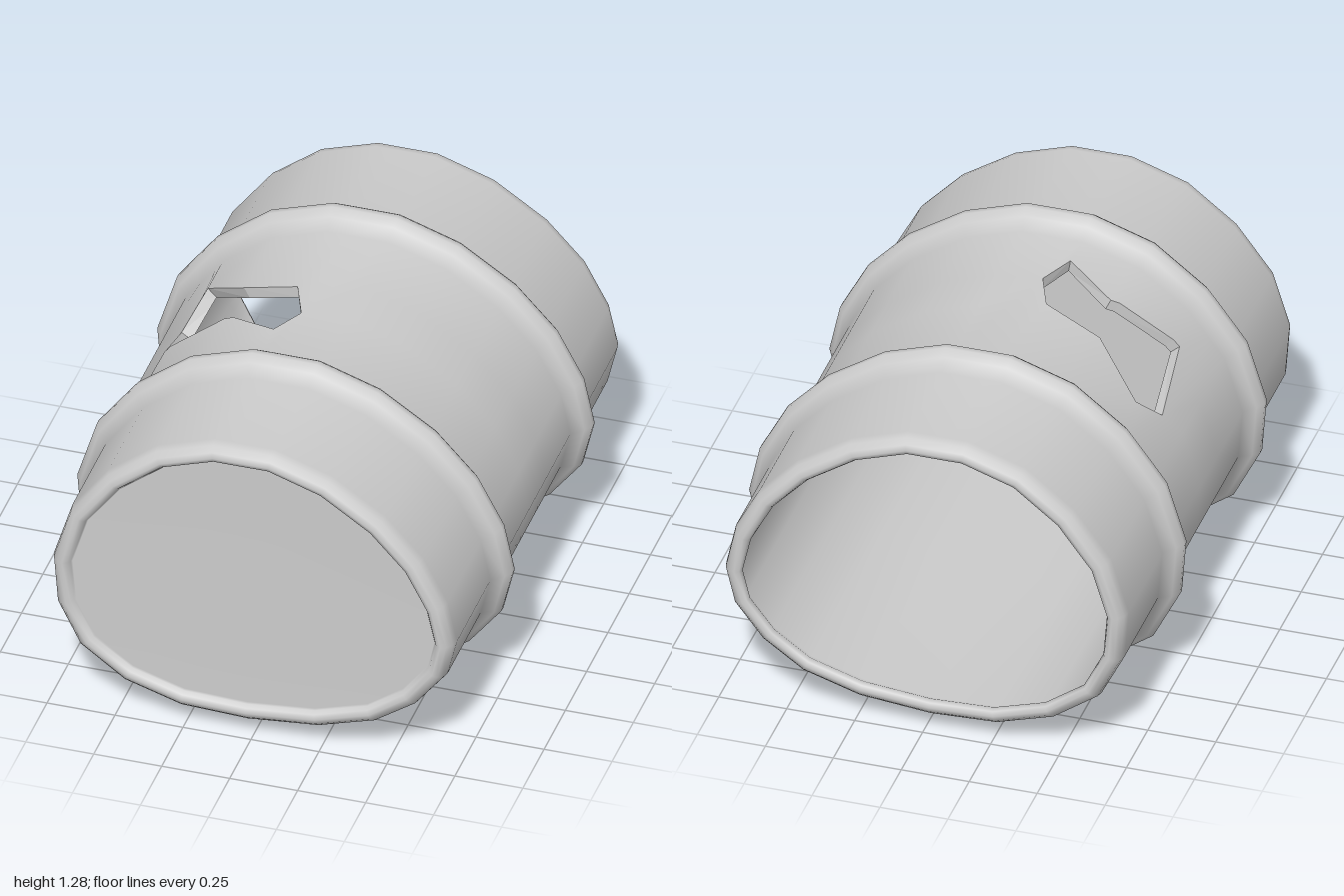
import * as THREE from 'three';

// Squashed barrel cross-section (x, y), clockwise seen from the front
const OUTLINE = [
  [-0.15, 1.21], [0.07, 1.21], [0.28, 1.14], [0.475, 1.01], [0.615, 0.86], [0.705, 0.69], [0.74, 0.53],
  [0.705, 0.385], [0.60, 0.25], [0.45, 0.145], [0.24, 0.08], [-0.02, 0.055], [-0.265, 0.065], [-0.475, 0.13],
  [-0.64, 0.25], [-0.725, 0.42], [-0.74, 0.61], [-0.675, 0.82], [-0.54, 1.0], [-0.36, 1.14],
];
// Back and front edges of the broken hole, as (x, z, lift of the lip)
const HOLE_BACK = [[-0.62, -0.10, -0.025], [-0.54, -0.22, 0], [-0.36, -0.07, 0], [-0.15, -0.03, 0.005], [-0.09, 0.12, 0.005]];
const HOLE_FRONT = [[-0.62, -0.10, -0.025], [-0.56, 0.18, 0.02], [-0.33, 0.14, 0.01], [-0.15, 0.25, 0.01], [-0.09, 0.12, 0.005]];
const CENTRE_Y = 0.62;

// Edge position and lift at x, by straight lines along a hole chain
function along(chain, x) {
  let i = 1;
  while (i < chain.length - 1 && x > chain[i][0]) i++;
  const [x0, z0, l0] = chain[i - 1], [x1, z1, l1] = chain[i];
  const t = THREE.MathUtils.clamp((x - x0) / (x1 - x0), 0, 1);
  return { z: z0 + (z1 - z0) * t, lift: l0 + (l1 - l0) * t };
}

// Columns round the barrel: outline points plus extra ones where the hole has corners
function makeColumns() {
  const n = OUTLINE.length;
  const base = OUTLINE.map(([x, y], i) => {
    const a = OUTLINE[(i + n - 1) % n], b = OUTLINE[(i + 1) % n];
    return { p: new THREE.Vector2(x, y), n: new THREE.Vector2(a[1] - b[1], b[0] - a[0]).normalize() };
  });
  const columns = [];
  base.forEach((a, i) => {
    const b = base[(i + 1) % n];
    columns.push(a);
    if (a.p.y < 0.6 || b.p.y < 0.6) return;
    for (const x of [-0.62, -0.56, -0.33, -0.09]) {
      if (x <= a.p.x || x >= b.p.x) continue;
      const t = (x - a.p.x) / (b.p.x - a.p.x);
      columns.push({ p: a.p.clone().lerp(b.p, t), n: a.n.clone().lerp(b.n, t).normalize() });
    }
  });
  for (const c of columns) {
    c.inHole = c.p.y > 0.7 && c.p.x > -0.625 && c.p.x < -0.085;
    c.front = c.inHole ? along(HOLE_FRONT, c.p.x) : { z: 0.1, lift: 0 };
    c.back = c.inHole ? along(HOLE_BACK, c.p.x) : { z: -0.1, lift: 0 };
  }
  return columns;
}

// Raised hoop profile round z
const hoop = (z) => [[0, 0.08], [0.04, 0.042], [0.061, 0.012], [0.061, -0.012], [0.04, -0.042], [0, -0.08]]
  .map(([off, dz]) => ({ off, z: z + dz }));

// Rounded rim, from its inner side out to the barrel wall
const RIM = [[-0.07, 0.975], [-0.062, 0.992], [-0.045, 1], [-0.025, 0.992], [-0.007, 0.972], [0, 0.94]];

// Wall profile: slightly sunk front lid, outside, open back rim, then back along the inside
const WALL = -0.045;
const PROFILE = [
  { off: -0.6, z: 0.968, centre: true }, { off: -0.075, z: 0.968 },
  ...RIM.map(([off, z]) => ({ off, z })),
  ...hoop(0.47),
  { off: 0, z: 0.1, edge: 'front' }, { off: 0, z: -0.1, edge: 'back' },
  ...hoop(-0.47),
  ...RIM.map(([off, z]) => ({ off, z: -z })).reverse(),
  { off: WALL, z: -0.93 },
  { off: WALL, z: -0.1, edge: 'back' }, { off: WALL, z: 0.1, edge: 'front' },
  { off: WALL, z: 0.94 }, { off: WALL, z: 0.94 }, { off: -0.6, z: 0.94, centre: true },
];

function place(row, c) {
  if (row.centre) return [0, CENTRE_Y, row.z];
  const off = row.off + (row.edge ? c[row.edge].lift : 0);
  return [c.p.x + c.n.x * off, c.p.y + c.n.y * off, row.edge ? c[row.edge].z : row.z];
}

function makeShell(columns) {
  const pos = [], nor = [], idx = [], n = columns.length;
  PROFILE.forEach((row, i) => {
    const a = PROFILE[Math.max(i - 1, 0)], b = PROFILE[Math.min(i + 1, PROFILE.length - 1)];
    const pn = new THREE.Vector2(a.z - b.z, b.off - a.off).normalize();
    for (const c of columns) {
      pos.push(...place(row, c));
      nor.push(c.n.x * pn.x, c.n.y * pn.x, pn.y);
    }
    if (i === 0) return;
    for (let k = 0; k < n; k++) {
      const k1 = (k + 1) % n;
      if (a.edge && row.edge && columns[k].inHole && columns[k1].inHole) continue;
      const p = (i - 1) * n + k, q = (i - 1) * n + k1, r = i * n + k1, s = i * n + k;
      if (!a.centre) idx.push(p, q, r);
      if (!row.centre) idx.push(p, r, s);
    }
  });
  const g = new THREE.BufferGeometry();
  g.setAttribute('position', new THREE.Float32BufferAttribute(pos, 3));
  g.setAttribute('normal', new THREE.Float32BufferAttribute(nor, 3));
  g.setIndex(idx);
  return g;
}

// Thickness of the wall shown round the broken hole
function makeHoleEdge(columns) {
  const pos = [];
  columns.forEach((c, k) => {
    const d = columns[(k + 1) % columns.length];
    if (!c.inHole || !d.inHole) return;
    for (const edge of ['front', 'back']) {
      const [o0, o1, i1, i0] = [[0, c], [0, d], [WALL, d], [WALL, c]].map(([off, col]) => place({ off, edge }, col));
      if (edge === 'front') pos.push(...o0, ...o1, ...i1, ...o0, ...i1, ...i0);
      else pos.push(...o0, ...i1, ...o1, ...o0, ...i0, ...i1);
    }
  });
  const g = new THREE.BufferGeometry();
  g.setAttribute('position', new THREE.Float32BufferAttribute(pos, 3));
  g.computeVertexNormals();
  return g;
}

export function createModel() {
  const group = new THREE.Group();
  group.name = 'brokenBarrel';
  const columns = makeColumns();
  const shell = new THREE.Mesh(makeShell(columns), new THREE.MeshStandardMaterial({ color: 0xcccccc }));
  shell.name = 'barrelShell';
  const edge = new THREE.Mesh(
    makeHoleEdge(columns),
    new THREE.MeshStandardMaterial({ color: 0xcccccc, side: THREE.DoubleSide }),
  );
  edge.name = 'holeEdge';
  group.add(shell, edge);
  return group;
}
